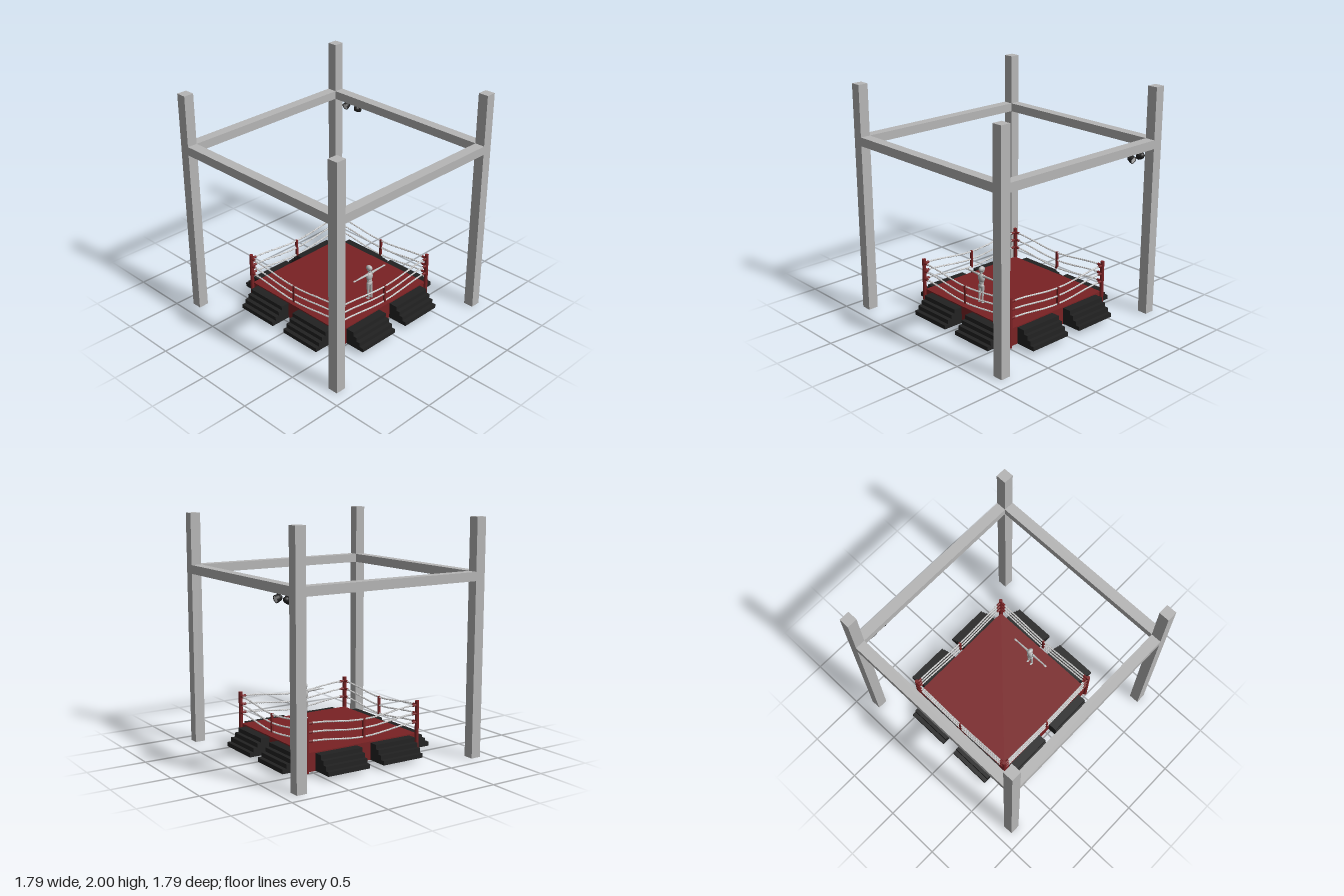
import * as THREE from 'three';

const mat = (name, color) => {
  const m = new THREE.MeshStandardMaterial({ color });
  m.name = name;
  return m;
};

export function createModel() {
  const steel = mat('steel grey', 0xb6b6b6);
  const red = mat('ring red', 0x7a2224);
  const black = mat('matt black', 0x222222);
  const white = mat('rope white', 0xd6d6d6);
  const skin = mat('figure grey', 0xb8b8b8);

  const model = new THREE.Group();
  model.name = 'boxingRing';
  const add = (parent, name, geo, material, x = 0, y = 0, z = 0) => {
    const m = new THREE.Mesh(geo, material);
    m.name = name;
    m.position.set(x, y, z);
    parent.add(m);
    return m;
  };
  const group = (parent, name, x = 0, y = 0, z = 0) => {
    const g = new THREE.Group();
    g.name = name;
    g.position.set(x, y, z);
    parent.add(g);
    return g;
  };
  const V = (x, y, z) => new THREE.Vector3(x, y, z);

  // Overhead frame: four pillars joined by four beams
  const P = 0.85, W = 0.09;
  const frame = group(model, 'frame');
  for (const s of [-1, 1]) {
    for (const t of [-1, 1]) add(frame, 'pillar', new THREE.BoxGeometry(W, 2, W), steel, s * P, 1, t * P);
    add(frame, 'beamAcross', new THREE.BoxGeometry(2 * P - W, 0.075, W), steel, 0, 1.522, s * P);
    add(frame, 'beamAlong', new THREE.BoxGeometry(W, 0.075, 2 * P - W), steel, s * P, 1.522, 0);
  }

  // Spotlights under the back beam, one facing front and one facing back
  const lampProfile = [[0, -0.03], [0.014, -0.028], [0.024, -0.016], [0.03, 0.006], [0.032, 0.028], [0.027, 0.028], [0.025, 0.022]]
    .map(([r, h]) => new THREE.Vector2(r, h));
  for (const [x, turn] of [[-0.7, 0], [-0.575, Math.PI]]) {
    const lamp = group(model, 'spotlight', x, 1.441, -P);
    lamp.rotation.y = turn;
    add(lamp, 'mountPlate', new THREE.CylinderGeometry(0.018, 0.018, 0.01, 12), black, 0, 0.04, 0);
    add(lamp, 'mountStem', new THREE.CylinderGeometry(0.008, 0.008, 0.025, 8), black, 0, 0.03, 0);
    add(lamp, 'yoke', new THREE.TorusGeometry(0.032, 0.004, 6, 16, Math.PI), black);
    const head = group(lamp, 'lampHead');
    head.rotation.x = Math.PI / 2 + 0.3;
    add(head, 'housing', new THREE.LatheGeometry(lampProfile, 20), black);
    add(head, 'lens', new THREE.CylinderGeometry(0.026, 0.026, 0.006, 20), white, 0, 0.022, 0);
  }

  // Ring platform
  const H = 0.541, B = 0.535, base = 0.035;
  const ring = group(model, 'ring', -0.017, 0, -0.054);
  add(ring, 'platform', new THREE.BoxGeometry(2 * B, 0.155, 2 * B), red, 0, base + 0.0775, 0);

  // Stair block with four steps, running outward along x
  const stepShape = new THREE.Shape();
  stepShape.moveTo(B, base);
  stepShape.lineTo(0.721, base);
  for (let i = 0; i < 4; i++) {
    const x = 0.721 - i * 0.036, y = base + (i + 1) * 0.0362;
    stepShape.lineTo(x, y);
    stepShape.lineTo(i < 3 ? x - 0.036 : B, y);
  }
  stepShape.closePath();
  const stairGeo = new THREE.ExtrudeGeometry(stepShape, { depth: 0.395, bevelEnabled: false });
  stairGeo.translate(0, 0, -0.1975);

  // Two strands twisted around a sagging line
  const ropeStrand = (top, phase) => {
    const pts = [];
    for (let i = 0; i <= 160; i++) {
      const u = i / 80 - 1, a = i * 0.9 + phase;
      const sag = 0.043 * (0.5 + 0.5 * Math.cos(Math.PI * u));
      pts.push(V(H + 0.003 * Math.cos(a), top - sag + 0.003 * Math.sin(a), u * (H - 0.01)));
    }
    return new THREE.TubeGeometry(new THREE.CatmullRomCurve3(pts), 200, 0.0055, 5);
  };
  const levels = [0.433, 0.36, 0.287];
  const strands = levels.map((y) => [0, Math.PI].map((p) => ropeStrand(y, p)));

  // Each side: a corner post, three ropes, a centre tie and two stairs
  [-0.008, -0.007, -0.004, 0.015].forEach((shift, k) => {
    const side = group(ring, 'ringSide');
    side.rotation.y = k * Math.PI / 2;
    add(side, 'cornerPost', new THREE.CylinderGeometry(0.017, 0.017, 0.44, 16), red, H, 0.25, H);
    levels.forEach((y, i) => {
      strands[i].forEach((geo) => add(side, 'rope', geo, white));
      for (const s of [-1, 1]) {
        const pad = add(side, 'turnbuckle', new THREE.CylinderGeometry(0.011, 0.011, 0.05, 10), red, H, y - 0.001, s * (H - 0.025));
        pad.rotation.x = Math.PI / 2;
      }
    });
    add(side, 'ropeTie', new THREE.BoxGeometry(0.019, 0.16, 0.019), red, H, 0.317, 0);
    for (const s of [-1, 1]) add(side, 'stairs', stairGeo, black, 0, 0, s * 0.264 + shift);
  });

  // Standing figure with arms held out
  const figure = group(model, 'figure', 0.348, 0.19, -0.055);
  figure.rotation.y = -Math.PI / 2;
  const ball = (parent, name, x, y, z, rx, ry, rz) =>
    add(parent, name, new THREE.SphereGeometry(1, 16, 12), skin, x, y, z).scale.set(rx, ry, rz);
  const limb = (parent, name, a, b, ra, rb) => {
    const d = b.clone().sub(a);
    const m = add(parent, name, new THREE.CylinderGeometry(rb, ra, d.length(), 10), skin);
    m.position.copy(a).addScaledVector(d, 0.5);
    m.quaternion.setFromUnitVectors(V(0, 1, 0), d.normalize());
  };
  ball(figure, 'head', 0, 0.302, 0.006, 0.022, 0.025, 0.031);
  ball(figure, 'jaw', 0, 0.283, 0.013, 0.015, 0.016, 0.017);
  limb(figure, 'neck', V(0, 0.25, 0), V(0, 0.29, 0.002), 0.01, 0.01);
  ball(figure, 'chest', 0, 0.222, 0.002, 0.034, 0.042, 0.024);
  ball(figure, 'waist', 0, 0.18, 0, 0.024, 0.032, 0.018);
  ball(figure, 'hips', 0, 0.155, -0.002, 0.031, 0.024, 0.021);
  for (const s of [-1, 1]) {
    ball(figure, 'shoulder', s * 0.036, 0.247, 0, 0.015, 0.014, 0.013);
    limb(figure, 'upperArm', V(s * 0.036, 0.248, 0), V(s * 0.1, 0.25, 0), 0.0105, 0.009);
    ball(figure, 'elbow', s * 0.1, 0.25, 0, 0.01, 0.01, 0.01);
    limb(figure, 'forearm', V(s * 0.1, 0.25, 0), V(s * 0.165, 0.25, 0), 0.009, 0.006);
    ball(figure, 'hand', s * 0.18, 0.25, 0.001, 0.019, 0.006, 0.01);
    limb(figure, 'thigh', V(s * 0.017, 0.155, 0), V(s * 0.018, 0.082, -0.002), 0.016, 0.011);
    ball(figure, 'knee', s * 0.018, 0.082, -0.002, 0.011, 0.013, 0.012);
    limb(figure, 'shin', V(s * 0.018, 0.082, -0.003), V(s * 0.019, 0.012, -0.01), 0.0115, 0.0075);
    ball(figure, 'foot', s * 0.02, 0.008, 0.001, 0.01, 0.008, 0.021);
  }
  return model;
}
